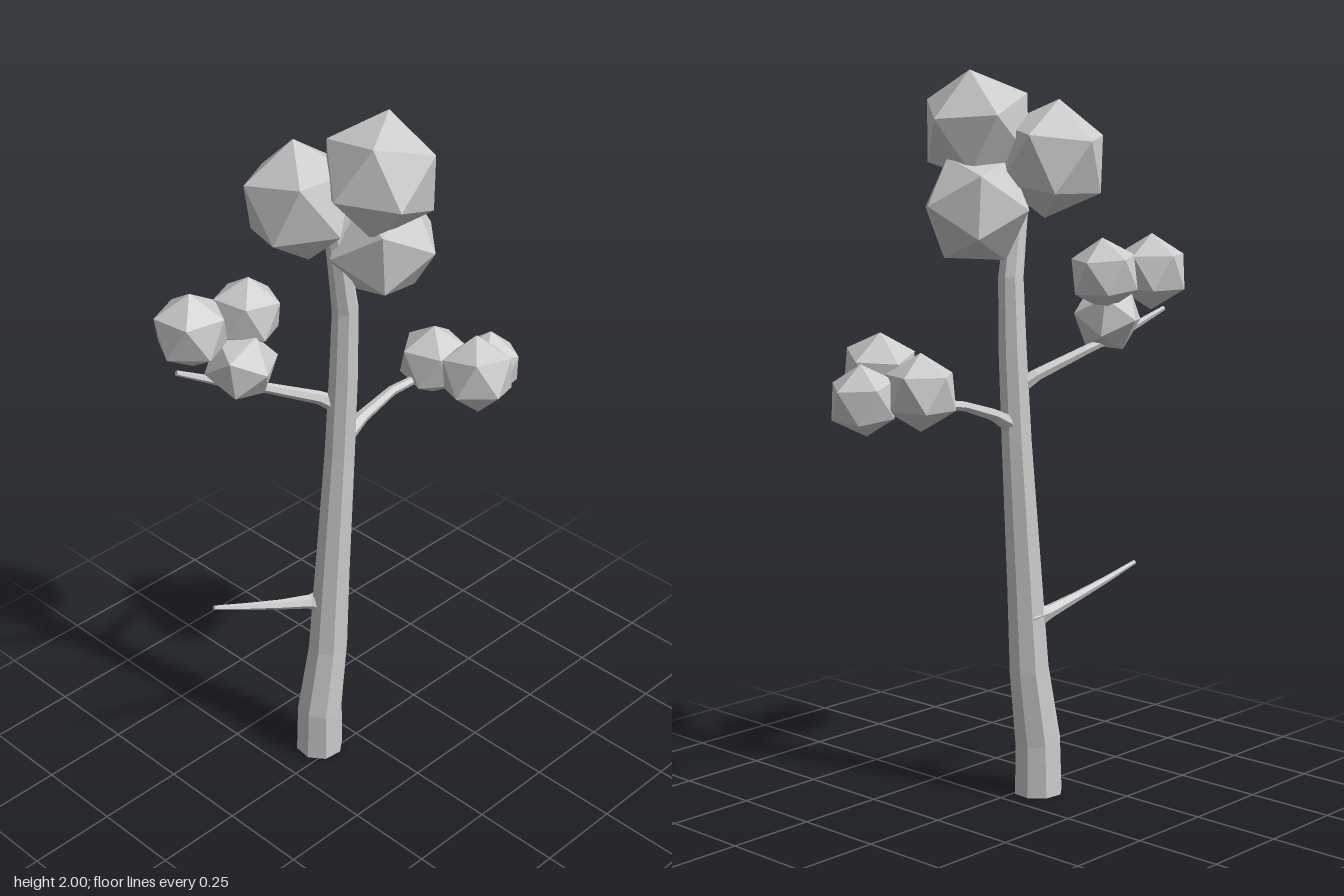
import * as THREE from 'three';

const V = (p) => new THREE.Vector3(...p);

function mesh(name, geometry) {
  const m = new THREE.Mesh(geometry, new THREE.MeshStandardMaterial({ color: 0xcccccc, flatShading: true }));
  m.name = name;
  return m;
}

// Tapered limb: stations are [x, y, z, radius]; ref fixes the ring orientation
function limb(name, stations, sides, ref) {
  const pts = stations.map((s) => V(s.slice(0, 3)));
  const pos = [], idx = [], n = pts.length;
  pts.forEach((p, i) => {
    const tangent = i === 0
      ? pts[1].clone().sub(p).normalize()
      : pts[Math.min(i + 1, n - 1)].clone().sub(pts[i - 1]).normalize();
    const a = ref.clone().addScaledVector(tangent, -ref.dot(tangent)).normalize();
    const b = tangent.clone().cross(a);
    for (let k = 0; k < sides; k++) {
      const t = ((k + 0.35) / sides) * Math.PI * 2;
      const v = p.clone()
        .addScaledVector(a, Math.cos(t) * stations[i][3])
        .addScaledVector(b, Math.sin(t) * stations[i][3]);
      pos.push(v.x, v.y, v.z);
    }
  });
  for (let i = 0; i < n - 1; i++) {
    for (let k = 0; k < sides; k++) {
      const p = i * sides + k, q = i * sides + (k + 1) % sides;
      idx.push(p, q, q + sides, p, q + sides, p + sides);
    }
  }
  // End caps
  const last = (n - 1) * sides;
  for (let k = 1; k < sides - 1; k++) {
    idx.push(0, k + 1, k, last, last + k, last + k + 1);
  }
  const g = new THREE.BufferGeometry();
  g.setAttribute('position', new THREE.Float32BufferAttribute(pos, 3));
  g.setIndex(idx);
  g.computeVertexNormals();
  return mesh(name, g);
}

// Icosahedron with one corner along `axis` and a neighbouring corner towards `hint`
function frame(axis, hint) {
  const y = axis.clone().normalize();
  const x = hint.clone().addScaledVector(y, -hint.dot(y)).normalize();
  return new THREE.Matrix4().makeBasis(x, y, x.clone().cross(y));
}
function foliage(name, center, radius, axis, hint) {
  const phi = (1 + Math.sqrt(5)) / 2;
  const g = new THREE.IcosahedronGeometry(radius, 0);
  g.applyMatrix4(frame(V([-1, phi, 0]), V([1, phi, 0])).transpose());
  g.applyMatrix4(frame(V(axis), V(hint)));
  const m = mesh(name, g);
  m.position.set(...center);
  return m;
}

export function createModel() {
  const tree = new THREE.Group();
  tree.name = 'tree';

  // Trunk
  tree.add(limb('trunk', [
    [-0.11, 0, -0.043, 0.069],
    [-0.11, 0.15, -0.04, 0.066],
    [-0.08, 0.36, -0.034, 0.057],
    [-0.068, 0.6, -0.028, 0.051],
    [-0.045, 1.0, -0.018, 0.043],
    [-0.037, 1.25, -0.01, 0.04],
    [-0.036, 1.45, -0.004, 0.036],
    [-0.062, 1.6, 0, 0.031],
    [-0.085, 1.72, 0, 0.026],
  ], 8, V([0, 0, 1])));

  // Branches
  const up = V([0, 1, 0]);
  tree.add(limb('leftBranch', [
    [-0.03, 1.05, -0.015, 0.026],
    [0.04, 1.085, -0.014, 0.018],
    [0.15, 1.12, -0.01, 0.014],
    [0.24, 1.135, 0.01, 0.012],
    [0.32, 1.14, 0.07, 0.008],
  ], 6, up));
  tree.add(limb('rightBranch', [
    [-0.04, 1.15, -0.02, 0.025],
    [-0.09, 1.185, -0.05, 0.018],
    [-0.22, 1.245, -0.11, 0.014],
    [-0.34, 1.295, -0.16, 0.012],
    [-0.45, 1.35, -0.2, 0.007],
  ], 6, up));
  tree.add(limb('bareBranch', [
    [-0.07, 0.51, -0.04, 0.045],
    [-0.125, 0.52, -0.065, 0.02],
    [-0.22, 0.55, -0.085, 0.014],
    [-0.32, 0.585, -0.108, 0.01],
    [-0.42, 0.623, -0.13, 0.006],
  ], 6, up));

  // Foliage clusters: [center, radius, corner axis, neighbour hint]
  const clusters = {
    crownFoliage: [
      [[0, 1.847, 0.085], 0.162, [0.05, 0.15, -0.02], [0.16, 0.02, 0.005]],
      [[-0.12, 1.765, -0.075], 0.16, [0, 0.155, -0.025], [0.15, 0, -0.035]],
      [[0.045, 1.635, 0.045], 0.157, [0.15, 0.01, 0.03], [0, 0.1, -0.135]],
    ],
    leftFoliage: [
      [[0.265, 1.21, 0.195], 0.107, [0.015, 0.1, -0.02], [0.1, 0, -0.01]],
      [[0.292, 1.17, 0.012], 0.104, [0, 0.1, 0], [0.095, 0, -0.03]],
      [[0.4, 1.15, 0.115], 0.098, [0.015, 0.1, -0.005], [1, 0, 0]],
    ],
    rightFoliage: [
      [[-0.397, 1.455, -0.197], 0.105, [0, 0.1, 0], [0.02, 0, -0.1]],
      [[-0.235, 1.455, -0.165], 0.1, [0.01, 0.1, 0], [0.015, 0, -0.1]],
      [[-0.287, 1.335, -0.133], 0.1, [0, 0.005, 0.1], [1, 0.1, 0]],
    ],
  };
  for (const [name, balls] of Object.entries(clusters)) {
    const group = new THREE.Group();
    group.name = name;
    balls.forEach((b, i) => group.add(foliage(`${name}${i + 1}`, ...b)));
    tree.add(group);
  }
  return tree;
}
